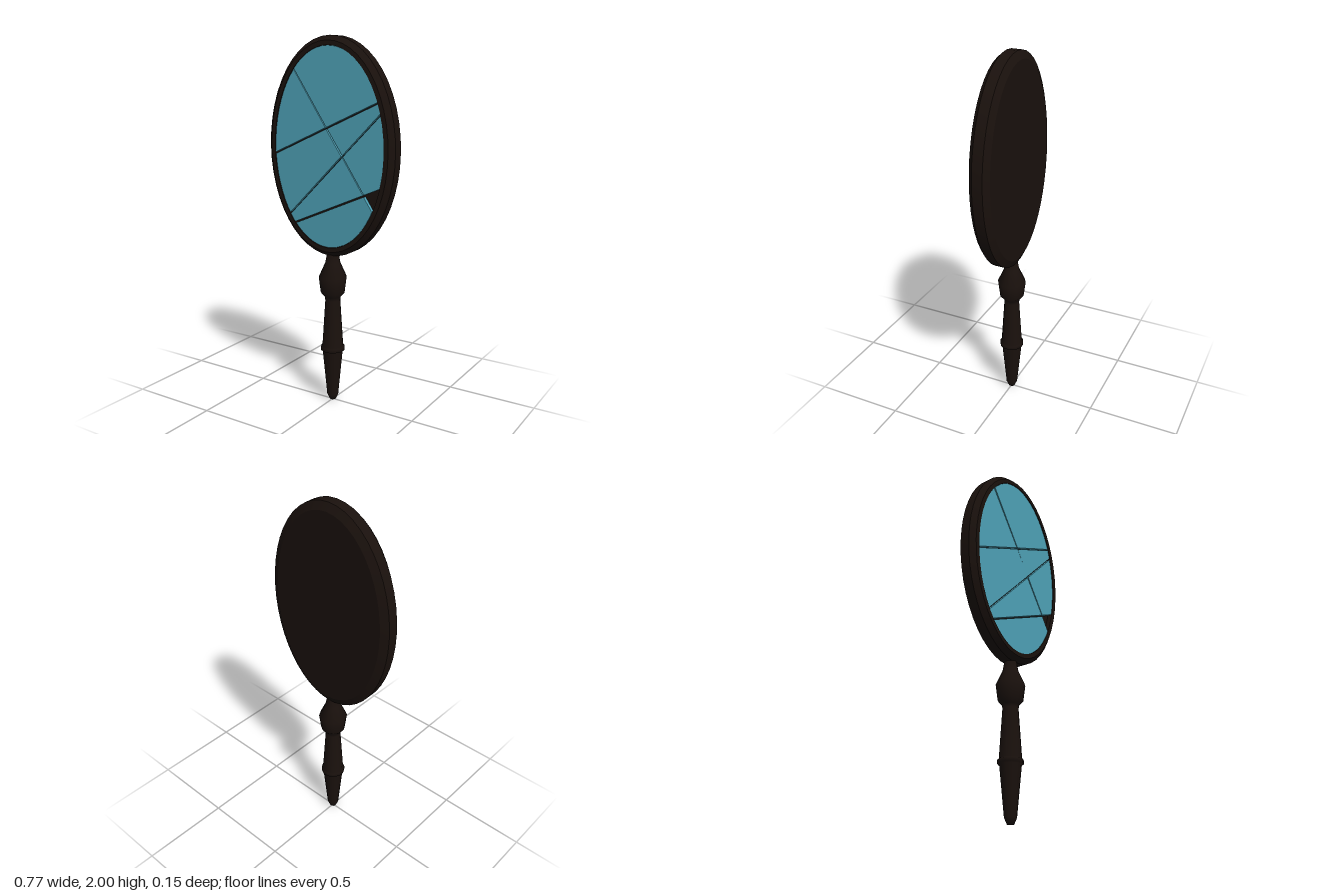
import * as THREE from 'three';

const CY = 1.4225; // centre height of the oval head
const dark = new THREE.MeshStandardMaterial({ color: 0x1a110d });
const glass = new THREE.MeshStandardMaterial({ color: 0x4fa3b8 });

// Oval shell swept through [rx, ry, z] rings; each band keeps its own vertices for crisp edges
function ovalShell(rings, n) {
  const pos = [], idx = [];
  for (let i = 0; i < rings.length - 1; i++) {
    const base = pos.length / 3;
    for (const [rx, ry, z] of [rings[i], rings[i + 1]]) {
      for (let j = 0; j < n; j++) {
        const t = (j / n) * Math.PI * 2;
        pos.push(rx * Math.cos(t), ry * Math.sin(t), z);
      }
    }
    for (let j = 0; j < n; j++) {
      const a = base + j, b = base + ((j + 1) % n);
      idx.push(a, b, b + n, a, b + n, a + n);
    }
  }
  const g = new THREE.BufferGeometry();
  g.setAttribute('position', new THREE.Float32BufferAttribute(pos, 3));
  g.setIndex(idx);
  g.computeVertexNormals();
  return g;
}

// Keep the part of a convex polygon on one side of a crack, set back by half the gap
function clip(poly, [x0, y0, x1, y1], side, gap) {
  const len = Math.hypot(x1 - x0, y1 - y0);
  const dist = (p) => side * ((x1 - x0) * (p.y - y0) - (y1 - y0) * (p.x - x0)) / len - gap;
  const out = [];
  poly.forEach((p, i) => {
    const q = poly[(i + 1) % poly.length], dp = dist(p), dq = dist(q);
    if (dp >= 0) out.push(p);
    if (dp * dq < 0) out.push(p.clone().lerp(q, dp / (dp - dq)));
  });
  return out;
}

export function createModel() {
  const group = new THREE.Group();
  const add = (name, geo, mat, y = 0) => {
    const m = new THREE.Mesh(geo, mat);
    m.name = name;
    m.position.y = y;
    group.add(m);
    return m;
  };

  // Frame: closed back, chamfered rim, recessed floor behind the glass
  add('frame', ovalShell([
    [0, 0, -0.05], [0.345, 0.537, -0.05], [0.387, 0.5775, -0.03], [0.387, 0.5775, 0.027],
    [0.36, 0.552, 0.055], [0.335, 0.528, 0.055], [0.332, 0.525, 0.03], [0, 0, 0.03],
  ], 48), dark, CY);

  // Broken glass: the oval cut by four cracks, one shard missing at the lower right
  const oval = [];
  for (let j = 0; j < 64; j++) {
    const t = (j / 64) * Math.PI * 2;
    oval.push(new THREE.Vector2(0.333 * Math.cos(t), CY + 0.526 * Math.sin(t)));
  }
  const slant = [-0.21, 1.83, 0.23, 1.185];
  const cracks = [
    [-0.33, 1.385, 0.3, 1.67],
    [-0.24, 1.06, 0.31, 1.61],
    [-0.21, 1.01, 0.31, 1.235],
  ];
  const gap = 0.004;
  for (let band = 0; band < 4; band++) {
    let strip = oval;
    if (band > 0) strip = clip(strip, cracks[band - 1], -1, gap);
    if (band < 3) strip = clip(strip, cracks[band], 1, gap);
    for (const side of [-1, 1]) {
      if (band === 3 && side === 1) continue;
      const pts = clip(strip, slant, side, gap * 0.7);
      const c = pts.reduce((s, p) => s.add(p), new THREE.Vector2()).divideScalar(pts.length);
      const shape = new THREE.Shape(pts.map((p) => p.clone().sub(c)));
      const geo = new THREE.ExtrudeGeometry(shape, { depth: 0.02, bevelEnabled: false });
      const shard = add('glassShard', geo, glass, c.y);
      shard.position.x = c.x;
      shard.position.z = 0.032;
      // Slight tilts, alternating between neighbours
      shard.rotation.x = 0.008 * (band % 2 ? 1 : -1);
      shard.rotation.y = 0.008 * side;
    }
  }

  // Turned handle with a ring and a collar below the head
  const profile = [
    [0, 0], [0.018, 0.003], [0.032, 0.035], [0.057, 0.295], [0.067, 0.3], [0.067, 0.32],
    [0.059, 0.326], [0.042, 0.59], [0.045, 0.61], [0.067, 0.635], [0.078, 0.72],
    [0.042, 0.8], [0.033, 0.85], [0.033, 0.87], [0, 0.87],
  ].map(([r, y]) => new THREE.Vector2(r, y));
  add('handle', new THREE.LatheGeometry(profile, 12, Math.PI / 12), dark);

  return group;
}
